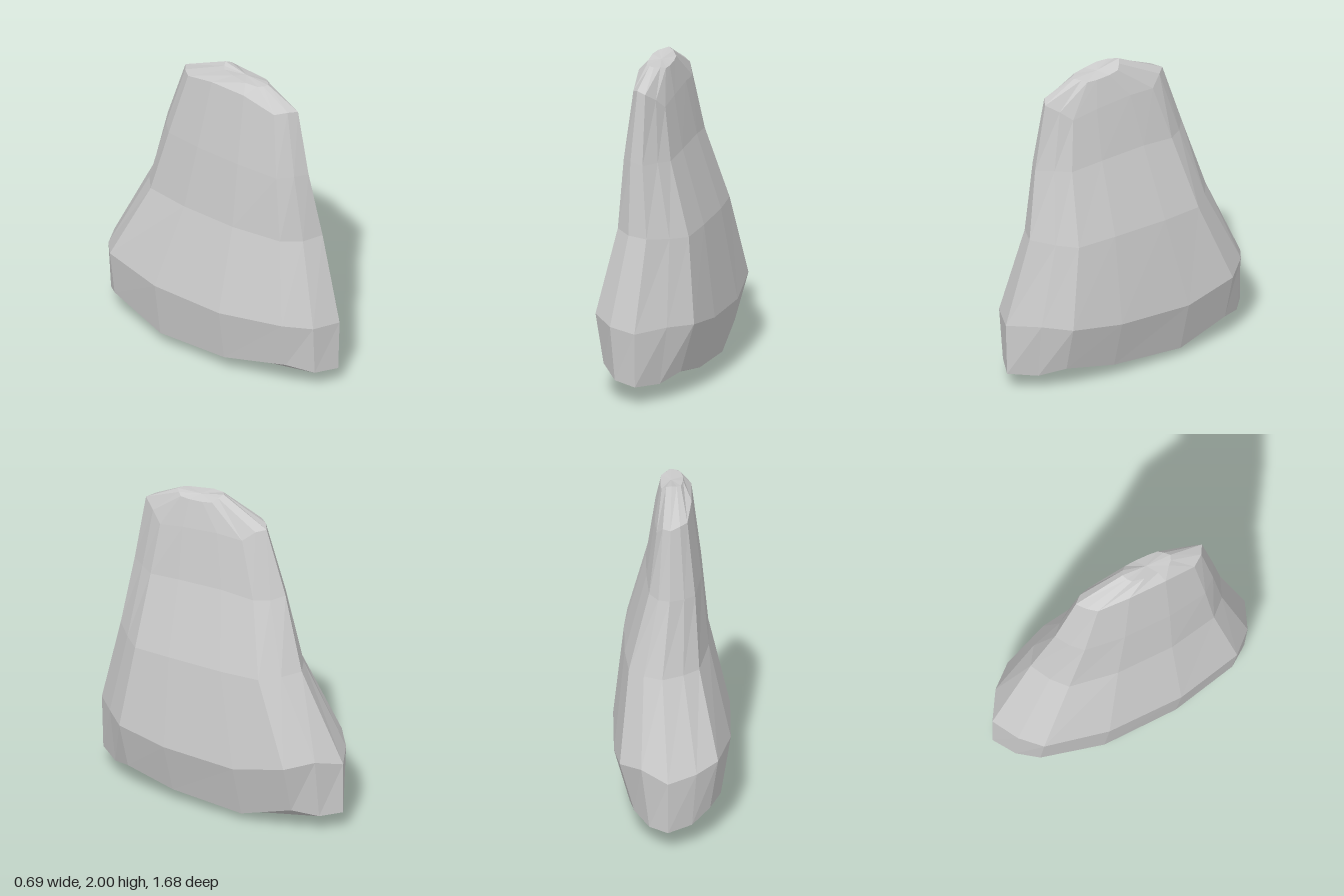
import * as THREE from 'three';

// Outline shared by every level, counterclockwise from the front ridge:
// x as a share of the left/right reach from the ridge, z as a share of half the depth
const outline = [
  [0, 1], [0.5, 0.82], [0.9, 0.65], [1, 0.26], [1, -0.31], [0.9, -0.71], [0.5, -0.88],
  [0, -1], [-0.45, -0.9], [-0.79, -0.77], [-1, -0.3], [-1, 0.27], [-0.79, 0.76], [-0.45, 0.92],
];

// Levels from the base to the crown: ridge x, min x, max x, front z, back z, heights round the outline
const levels = [
  { x: [0, -0.18, 0.14], z: [0.25, -0.3],
    y: [0.045, 0.045, 0.04, 0.03, 0.01, 0.005, 0.005, 0.012, 0.02, 0.03, 0.035, 0.038, 0.042, 0.045] },
  { x: [0.03, -0.29, 0.25], z: [0.83, -0.84],
    y: [0.12, 0.11, 0.155, 0.09, 0.055, 0.155, 0.115, 0.12, 0.135, 0.195, 0.1, 0.12, 0.195, 0.135] },
  { x: [0.03, -0.35, 0.345], z: [0.84, -0.84],
    y: [0.45, 0.465, 0.455, 0.41, 0.39, 0.46, 0.49, 0.44, 0.465, 0.5, 0.47, 0.47, 0.5, 0.465] },
  { x: [0.06, -0.22, 0.28], z: [0.69, -0.57],
    y: [1, 0.98, 0.97, 0.98, 0.98, 0.98, 0.99, 1, 1, 1, 1.02, 1.02, 1.01, 1] },
  { x: [0.015, -0.178, 0.15], z: [0.62, -0.43],
    y: [1.43, 1.43, 1.42, 1.44, 1.45, 1.43, 1.43, 1.45, 1.44, 1.43, 1.45, 1.45, 1.43, 1.44] },
  { x: [0.01, -0.12, 0.1], z: [0.545, -0.295],
    y: [1.85, 1.8, 1.74, 1.77, 1.79, 1.78, 1.84, 1.85, 1.86, 1.86, 1.91, 1.91, 1.84, 1.86] },
  { x: [0, -0.07, 0.065], z: [0.33, 0.01],
    y: [1.96, 1.955, 1.945, 1.945, 1.95, 1.96, 1.985, 2, 1.99, 1.985, 1.98, 1.965, 1.96, 1.96] },
];

function ringOf({ x: [ridge, left, right], z: [front, back], y }) {
  return outline.map(([u, v], i) => new THREE.Vector3(
    ridge + (u > 0 ? u * (right - ridge) : -u * (left - ridge)),
    y[i],
    (front + back) / 2 + v * (front - back) / 2,
  ));
}

function centreOf(ring) {
  return ring.reduce((sum, p) => sum.add(p), new THREE.Vector3()).divideScalar(ring.length);
}

export function createModel() {
  const rings = levels.map(ringOf);
  const n = outline.length;
  const points = [];
  const bottom = rings[0], crown = rings[rings.length - 1];
  const low = centreOf(bottom), high = centreOf(crown);

  for (let i = 0; i < n; i++) {
    const j = (i + 1) % n;
    // Faceted walls between neighbouring levels
    for (let k = 0; k < rings.length - 1; k++) {
      const a = rings[k], b = rings[k + 1];
      points.push(a[i], a[j], b[j], a[i], b[j], b[i]);
    }
    // Base and crown
    points.push(low, bottom[j], bottom[i], high, crown[i], crown[j]);
  }

  const geometry = new THREE.BufferGeometry().setFromPoints(points);
  geometry.computeVertexNormals();
  const rock = new THREE.Mesh(geometry, new THREE.MeshStandardMaterial({ color: 0xcccccc, flatShading: true }));
  rock.name = 'standingRock';

  const group = new THREE.Group();
  group.name = 'rock';
  group.add(rock);
  return group;
}
